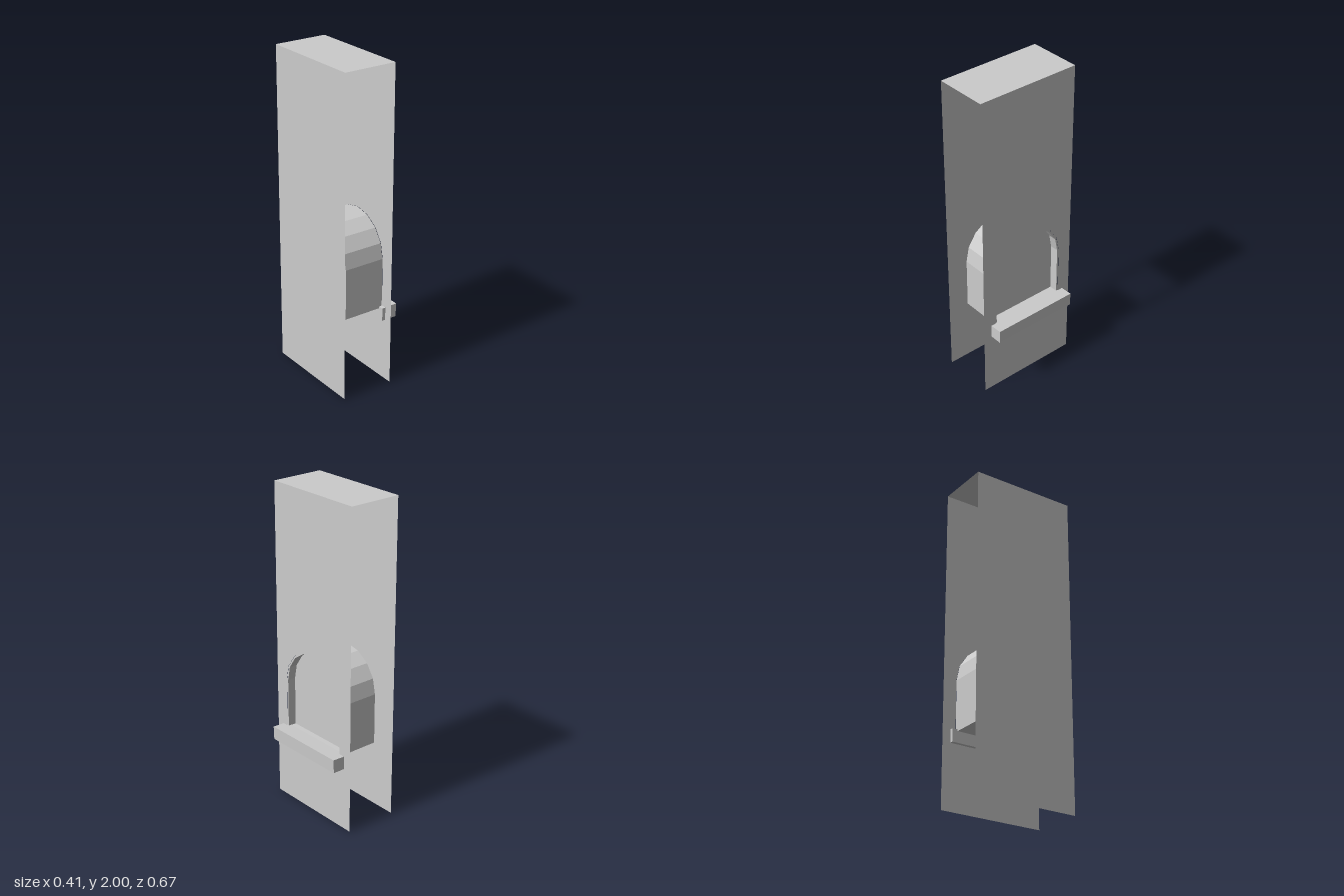
import * as THREE from 'three';

const SPRING = 0.79; // height where the arch starts
const SEGMENTS = 8;

// Arched outline in the wall's plane (horizontal, vertical)
function archPoints(radius, bottom) {
  const points = [new THREE.Vector2(-radius, bottom), new THREE.Vector2(radius, bottom)];
  for (let i = 0; i <= SEGMENTS; i++) {
    const a = (i / SEGMENTS) * Math.PI;
    points.push(new THREE.Vector2(radius * Math.cos(a), SPRING + radius * Math.sin(a)));
  }
  return points;
}

const polygon = (pairs) => new THREE.Shape(pairs.map(([a, b]) => new THREE.Vector2(a, b)));

export function createModel() {
  const model = new THREE.Group();
  const material = new THREE.MeshStandardMaterial({
    color: 0xcccccc, flatShading: true, side: THREE.DoubleSide,
  });

  function add(name, geometry) {
    const mesh = new THREE.Mesh(geometry, material);
    mesh.name = name;
    model.add(mesh);
    return mesh;
  }
  // Flat shape facing +x at the given x
  const addFlat = (name, shape, x) =>
    add(name, new THREE.ShapeGeometry(shape).rotateY(Math.PI / 2).translate(x, 0, 0));
  // Shape extruded along x from x0 to x1
  const addSolid = (name, shape, x0, x1) =>
    add(name, new THREE.ExtrudeGeometry(shape, { depth: x1 - x0, bevelEnabled: false })
      .rotateY(Math.PI / 2).translate(x0, 0, 0));

  // Wall: two faces and a cap, open at both ends and below
  const wallOutline = [[-0.333, 0], [0.333, 0], [0.333, 2], [-0.333, 2]];
  const windowWall = polygon(wallOutline);
  windowWall.holes.push(new THREE.Path(archPoints(0.247, 0.472)));
  addFlat('windowWall', windowWall, 0.125);
  addFlat('plainWall', polygon(wallOutline), -0.209).geometry.rotateY(Math.PI);
  model.children[1].geometry.translate(-0.418, 0, 0);
  add('wallCap', new THREE.PlaneGeometry(0.334, 0.666)
    .rotateX(-Math.PI / 2).translate(-0.042, 2, 0));

  // Arched window body with a shallow recess at its outer end
  addSolid('windowBody', new THREE.Shape(archPoints(0.247, 0.472)), -0.14, 0.07);
  const reveal = new THREE.Shape(archPoints(0.247, 0.472));
  reveal.holes.push(new THREE.Path(archPoints(0.236, 0.482)));
  addSolid('windowReveal', reveal, 0.07, 0.123);

  // Flat stones round the arch, with narrow joints
  const gap = 0.02;
  for (let i = 0; i < SEGMENTS; i++) {
    const a0 = (i / SEGMENTS) * Math.PI + gap;
    const a1 = ((i + 1) / SEGMENTS) * Math.PI - gap;
    const at = (r, a) => [r * Math.cos(a), SPRING + r * Math.sin(a)];
    addFlat('archStone', polygon([at(0.25, a0), at(0.285, a0), at(0.285, a1), at(0.25, a1)]), 0.127);
  }

  // Upright side stones with a slanted top
  for (const s of [-1, 1]) {
    const corners = [[0.248, 0.48], [0.28, 0.48], [0.28, 0.762], [0.248, 0.785]];
    if (s < 0) corners.reverse();
    addFlat('sideStone', polygon(corners.map(([a, b]) => [s * a, b])), 0.127);
  }

  // Sill, its outer top edge slightly raised
  const sill = new THREE.BoxGeometry(0.1, 0.081, 0.56).translate(0.153, 0.4425, 0);
  const p = sill.attributes.position;
  for (let i = 0; i < p.count; i++) {
    if (p.getX(i) > 0.15 && p.getY(i) > 0.44) p.setXY(i, 0.206, 0.487);
  }
  add('sill', sill);

  return model;
}
